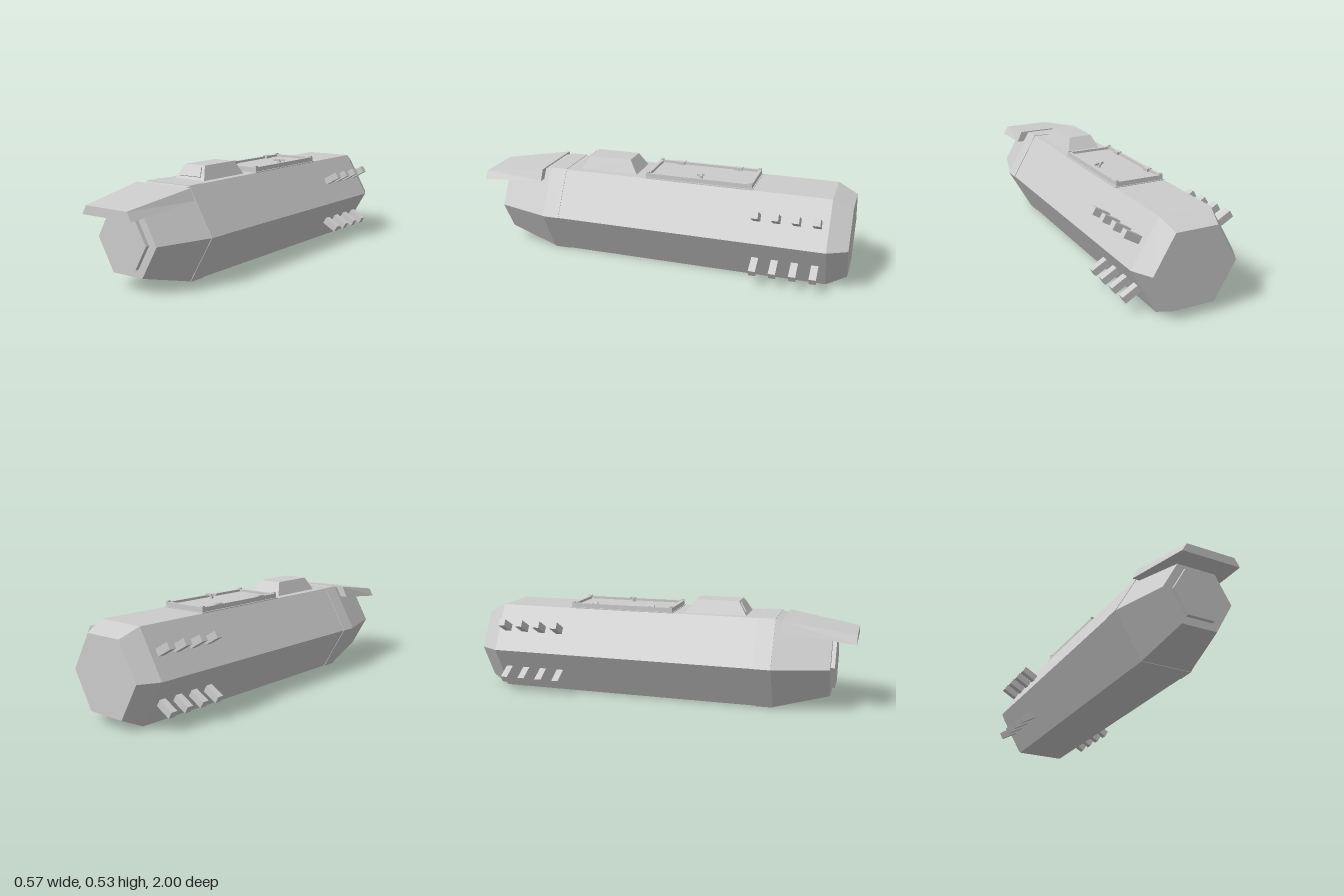
import * as THREE from 'three';

const CENTER_Y = 0.232;

// Flat-faced solid skinned over rings of points, each ring counter-clockwise seen from its last side
function loft(rings) {
  const pos = [];
  const tri = (a, b, c) => pos.push(...a, ...b, ...c);
  const n = rings[0].length;
  for (let r = 0; r < rings.length - 1; r++) {
    const a = rings[r], b = rings[r + 1];
    for (let i = 0; i < n; i++) {
      const j = (i + 1) % n;
      tri(a[i], a[j], b[j]);
      tri(a[i], b[j], b[i]);
    }
  }
  const first = rings[0], last = rings[rings.length - 1];
  for (let i = 1; i < n - 1; i++) {
    tri(first[0], first[i + 1], first[i]);
    tri(last[0], last[i], last[i + 1]);
  }
  const geo = new THREE.BufferGeometry();
  geo.setAttribute('position', new THREE.Float32BufferAttribute(pos, 3));
  geo.computeVertexNormals();
  return geo;
}

// Hexagon with corners pointing left and right
const hex = (z, radius) => Array.from({ length: 6 }, (_, i) => {
  const a = i * Math.PI / 3;
  return [radius * Math.cos(a), CENTER_Y + radius * Math.sin(a), z];
});

// Symmetric trapezoid across the hull
const trapezoid = (z, yLow, xLow, yHigh, xHigh) =>
  [[-xLow, yLow, z], [xLow, yLow, z], [xHigh, yHigh, z], [-xHigh, yHigh, z]];

// Horizontal rectangle, ordered for lofting upward
const rect = (y, x, zBack, zFront) =>
  [[-x, y, zFront], [x, y, zFront], [x, y, zBack], [-x, y, zBack]];

export function createModel() {
  const root = new THREE.Group();
  const grey = new THREE.MeshStandardMaterial({ color: 0xcccccc, flatShading: true });
  grey.name = 'hull grey';

  const add = (name, geo, parent = root) => {
    const mesh = new THREE.Mesh(geo, grey);
    mesh.name = name;
    parent.add(mesh);
    return mesh;
  };
  const box = (name, w, h, d, x, y, z, parent) => {
    const mesh = add(name, new THREE.BoxGeometry(w, h, d), parent);
    mesh.position.set(x, y, z);
    return mesh;
  };

  // Hull, collar and nose
  add('hull', loft([hex(-1, 0.212), hex(-0.9, 0.265), hex(0.51, 0.265)]));
  add('collar', loft([hex(0.51, 0.268), hex(0.6, 0.268)]));
  add('nose', loft([hex(0.6, 0.265), hex(0.88, 0.183)]));
  add('nosePlate', loft([hex(0.88, 0.138), hex(0.9, 0.138)]));

  // Visor overhanging the nose
  add('visor', loft([
    trapezoid(0.635, 0.403, 0.195, 0.46, 0.169),
    trapezoid(1, 0.36, 0.153, 0.403, 0.127),
  ]));

  // Cabin with a raised, sloping front window
  add('cabin', loft([rect(0.455, 0.095, 0.12, 0.447), rect(0.53, 0.063, 0.168, 0.4)]));
  const slope = (y, x, lift) => [x, y + 0.53 * lift, 0.447 - (y - 0.455) * 0.627 + 0.85 * lift];
  const pane = lift => [
    slope(0.475, -0.065, lift), slope(0.475, 0.065, lift),
    slope(0.522, 0.049, lift), slope(0.522, -0.049, lift),
  ];
  add('cabinWindow', loft([pane(-0.002), pane(0.006)]));

  // Deck hatch: base, rim and sunken door
  const hatch = new THREE.Group();
  hatch.name = 'hatch';
  hatch.position.z = -0.22;
  root.add(hatch);
  box('hatchBase', 0.266, 0.012, 0.57, 0, 0.459, 0, hatch);
  box('hatchDoor', 0.23, 0.018, 0.52, 0, 0.467, 0, hatch);
  for (const s of [-1, 1]) {
    box('hatchSideRim', 0.014, 0.03, 0.56, s * 0.118, 0.473, 0, hatch);
    box('hatchEndRim', 0.222, 0.03, 0.018, 0, 0.473, s * 0.271, hatch);
    for (const e of [-1, 1])
      box('hatchCornerBolt', 0.015, 0.008, 0.015, s * 0.118, 0.491, e * 0.27, hatch);
    // Hinges along the right edge
    box('hatchHinge', 0.022, 0.018, 0.04, -0.108, 0.483, s * 0.158, hatch);
    const pin = add('hatchHingePin', new THREE.CylinderGeometry(0.006, 0.006, 0.045, 8), hatch);
    pin.rotation.x = Math.PI / 2;
    pin.position.set(-0.118, 0.489, s * 0.158);
  }

  // Turning handle on the door
  const handle = new THREE.Group();
  handle.name = 'hatchHandle';
  handle.position.set(0.08, 0.476, -0.222);
  handle.rotation.y = 0.35;
  root.add(handle);
  const stem = add('handleStem', new THREE.CylinderGeometry(0.009, 0.012, 0.02, 8), handle);
  stem.position.y = 0.009;
  box('handleBar', 0.058, 0.01, 0.011, 0, 0.019, 0, handle);
  box('handleCrossBar', 0.011, 0.01, 0.036, 0, 0.019, 0, handle);

  // Four rows of rear thrusters, square to the slanted sides
  for (const angle of [30, 150, 210, 330]) {
    const row = new THREE.Group();
    row.name = 'thrusterRow';
    row.position.y = CENTER_Y;
    row.rotation.z = angle * Math.PI / 180;
    root.add(row);
    for (let i = 0; i < 4; i++)
      box('thruster', 0.106, 0.037, 0.036, 0.263, 0, -0.547 - i * 0.1, row);
  }

  return root;
}
